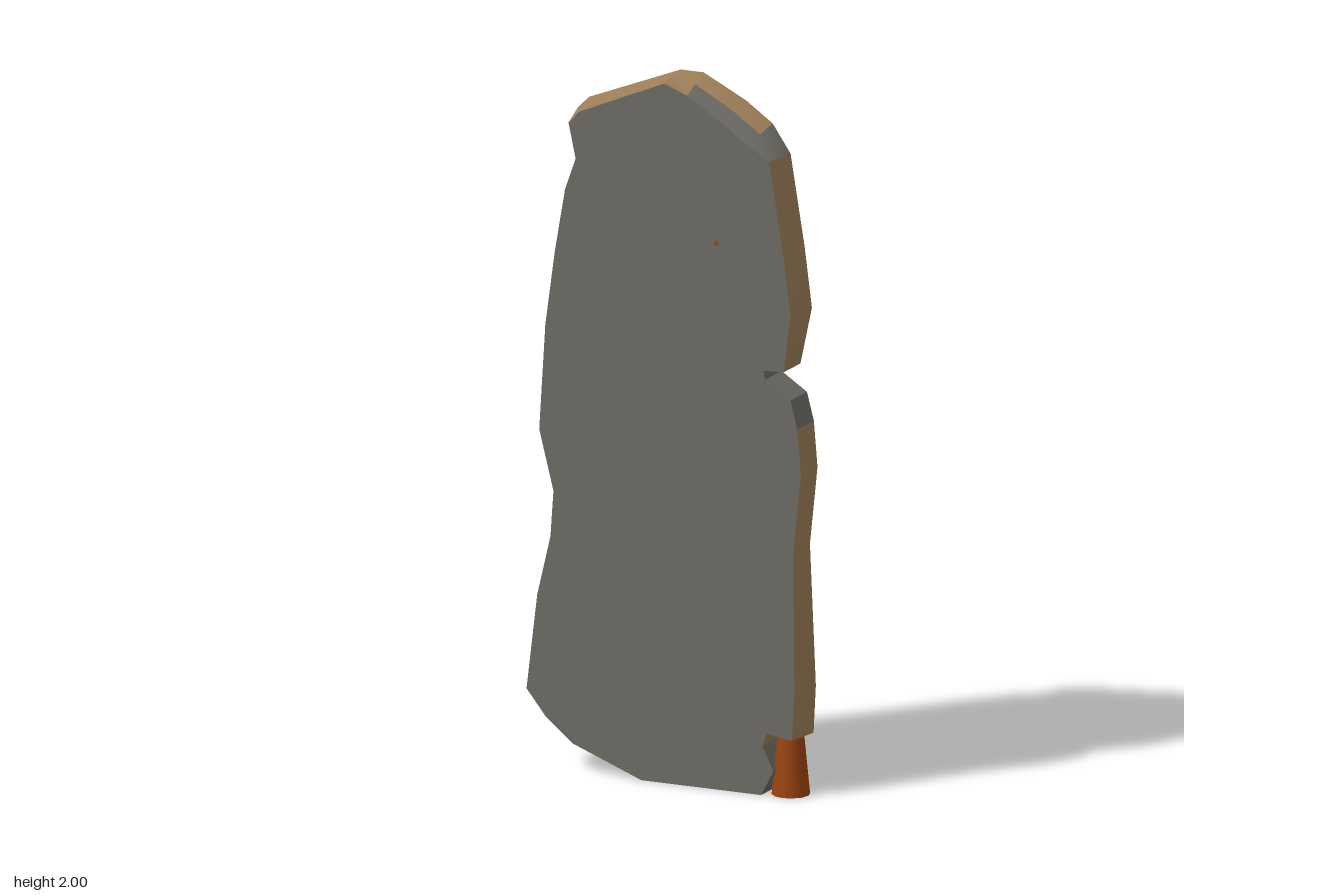
import * as THREE from 'three';
import { toCreasedNormals } from 'three/addons/utils/BufferGeometryUtils.js';

const mat = (name, color) => Object.assign(new THREE.MeshStandardMaterial({ color }), { name });
const stone = mat('greyStone', 0x6d6c65);
const tan = mat('tanEdge', 0x9c7e58);
const rust = mat('rustOrange', 0x9a430f);
const FRONT = 0.05, BACK = -0.054;

// Broken outline of the slab, counter-clockwise from the bottom
const outline = [
  [-0.07, 0], [0.295, 0], [0.333, 0.07], [0.3, 0.14], [0.312, 0.175], [0.405, 0.165],
  [0.412, 0.3], [0.394, 0.7], [0.417, 0.92], [0.406, 1.05], [0.385, 1.13], [0.308, 1.18],
  [0.303, 1.205], [0.365, 1.208], [0.4, 1.37], [0.378, 1.54], [0.335, 1.8], [0.28, 1.88],
  [0.2, 1.935], [0.07, 2], [0, 2], [-0.28, 1.89], [-0.315, 1.855], [-0.298, 1.74],
  [-0.33, 1.65], [-0.352, 1.47], [-0.368, 1.26], [-0.394, 0.96], [-0.362, 0.79],
  [-0.375, 0.66], [-0.41, 0.49], [-0.42, 0.22], [-0.36, 0.145], [-0.28, 0.08],
];

// The front face is worn back: in waves on the left, lightly on the right, downward on top
function wear(x, y) {
  if (x < -0.2) return [y > 0.25 ? 0.016 + 0.012 * Math.cos((y - 1.7) * 6) : 0, y > 1.85 ? -0.015 : 0];
  if (y > 1.85) return [x > 0.1 ? -0.025 : 0, x > 0.05 ? -0.042 : -0.015];
  const worn = y > 1.25 || (x > 0.4 && y < 0.6);
  return [worn && x > 0.3 ? -0.015 : 0, 0];
}

// Grey patches at the notches and upper right shoulder, rust under the lower left
function edgeMaterial(x, y, isFront) {
  const notch = (y > 1.08 && y < 1.26) || (y > 0.02 && y < 0.12);
  const shoulder = y > 1.82 && y < (isFront ? 1.98 : 1.88);
  if (x > 0.1 && (notch || shoulder)) return stone;
  return isFront && x < -0.3 && y > 0.1 && y < 0.2 ? rust : tan;
}

const backRing = outline.map(([x, y]) => new THREE.Vector3(x, y, BACK));
const frontRing = outline.map(([x, y]) => {
  const [dx, dy] = wear(x, y);
  return new THREE.Vector3(x + dx, y + dy, FRONT);
});
const midRing = frontRing.map((p, i) => p.clone().lerp(backRing[i], 0.5));

function geometryFrom(triangles) {
  return toCreasedNormals(new THREE.BufferGeometry().setFromPoints(triangles), 0.6);
}

// Flat face of the slab
function face(ring, flip) {
  const flat = ring.map(p => new THREE.Vector2(p.x, p.y));
  return geometryFrom(THREE.ShapeUtils.triangulateShape(flat, [])
    .flatMap(([a, b, c]) => [ring[a], ring[flip ? c : b], ring[flip ? b : c]]));
}

// Edge strips of one colour, in a front and a back half
function edge(material) {
  const tris = [];
  for (const [f, b] of [[frontRing, midRing], [midRing, backRing]]) {
    outline.forEach(([x, y], i) => {
      const j = (i + 1) % outline.length;
      const [x2, y2] = outline[j];
      if (edgeMaterial((x + x2) / 2, (y + y2) / 2, f === frontRing) !== material) return;
      tris.push(f[i], b[i], b[j], f[i], b[j], f[j]);
    });
  }
  return geometryFrom(tris);
}

export function createModel() {
  const group = new THREE.Group();
  group.name = 'stoneSlab';
  const add = (name, geometry, material) => {
    const mesh = new THREE.Mesh(geometry, material);
    mesh.name = name;
    group.add(mesh);
    return mesh;
  };

  add('frontFace', face(frontRing, false), stone);
  add('backFace', face(backRing, true), stone);
  add('tanEdges', edge(tan), tan);
  add('greyEdges', edge(stone), stone);
  add('rustEdges', edge(rust), rust);

  // Tapered foot under the corner
  const foot = new THREE.CylinderGeometry(0.037, 0.053, 0.165, 12);
  add('foot', foot, rust).position.set(0.362, 0.0825, 0);

  // Small coloured speck on the front
  add('speck', new THREE.CircleGeometry(0.008, 6), rust).position.set(0.16, 1.55, FRONT + 0.002);

  return group;
}
